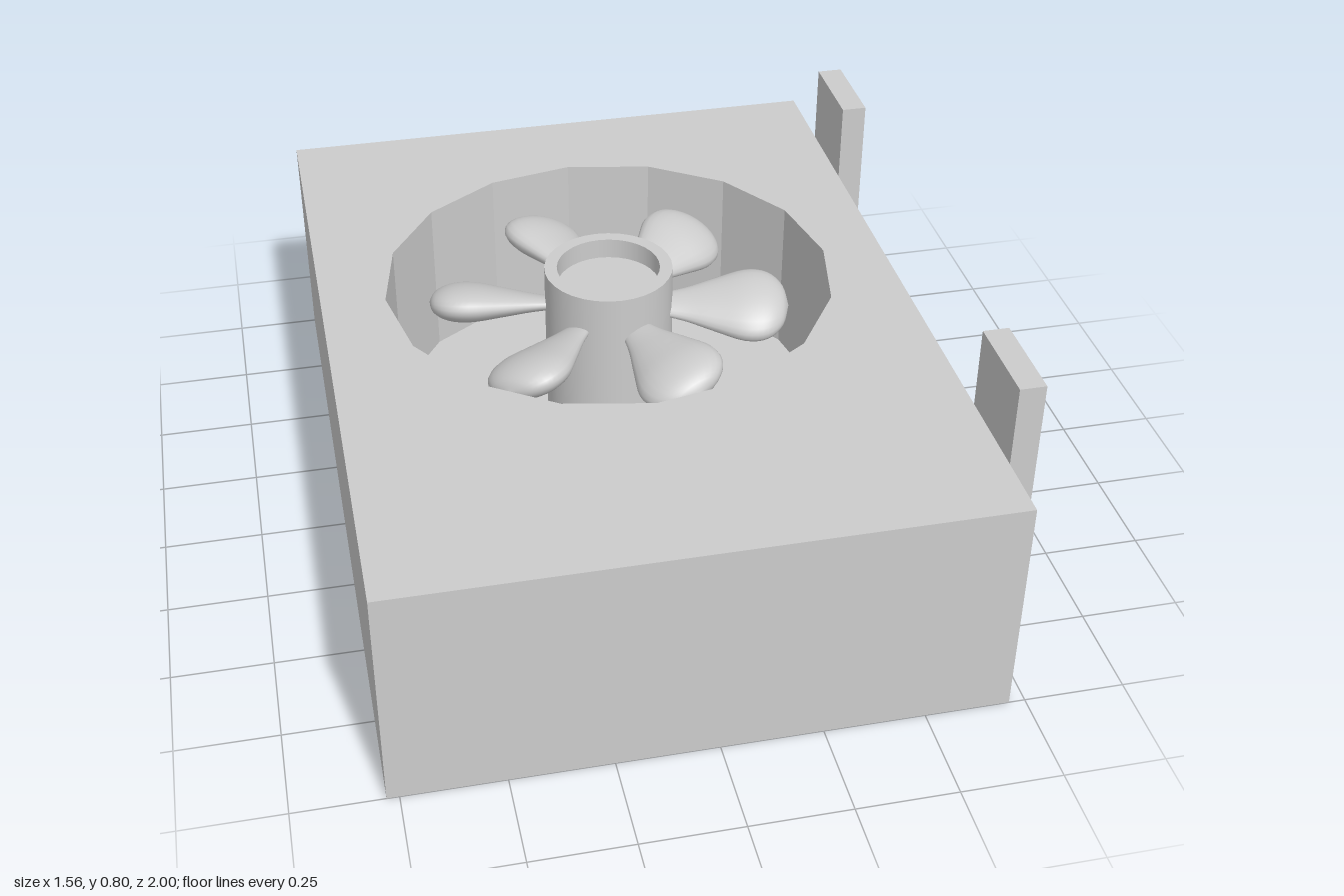
import * as THREE from 'three';

const material = new THREE.MeshStandardMaterial({ color: 0xcccccc });
const CX = -0.03, CZ = -0.155;      // fan centre
const FLOOR = 0.16, TOP = 0.59;     // well floor and casing top

function add(parent, name, geometry, x = 0, y = 0, z = 0) {
  const mesh = new THREE.Mesh(geometry, material);
  mesh.name = name;
  mesh.position.set(x, y, z);
  parent.add(mesh);
  return mesh;
}

// Lathe profile with hard corners: each straight run gets its own points
function ringProfile(corners) {
  const pts = [];
  for (let i = 0; i < corners.length - 1; i++) {
    const a = new THREE.Vector2(...corners[i]), b = new THREE.Vector2(...corners[i + 1]);
    pts.push([a, b]);
  }
  return pts;
}

// Casing walls with a sixteen-sided well
function casingGeometry() {
  const shape = new THREE.Shape();
  shape.moveTo(-0.78, -1).lineTo(0.71, -1).lineTo(0.71, 1).lineTo(-0.78, 1).closePath();
  const hole = new THREE.Path();
  for (let i = 0; i < 16; i++) {
    const a = -i * Math.PI / 8;
    const x = CX + 0.585 * Math.cos(a), y = -CZ + 0.585 * Math.sin(a);
    if (i === 0) hole.moveTo(x, y); else hole.lineTo(x, y);
  }
  hole.closePath();
  shape.holes.push(hole);
  return new THREE.ExtrudeGeometry(shape, { depth: TOP - FLOOR, bevelEnabled: false }).rotateX(-Math.PI / 2);
}

// Flattened teardrop lying along +x
function bladeGeometry() {
  const curve = new THREE.SplineCurve([
    [0.03, 0.12], [0.05, 0.2], [0.08, 0.28], [0.107, 0.36], [0.1, 0.42], [0.06, 0.46], [0, 0.475],
  ].map(p => new THREE.Vector2(...p)));
  const points = curve.getPoints(24);
  points[24].x = 0;
  return new THREE.LatheGeometry(points, 24).rotateZ(-Math.PI / 2).scale(1, 0.45, 1.05);
}

export function createModel() {
  const model = new THREE.Group();
  model.name = 'fanUnit';

  add(model, 'casingBase', new THREE.BoxGeometry(1.49, FLOOR, 2), -0.035, FLOOR / 2, 0);
  add(model, 'casingWalls', casingGeometry(), 0, FLOOR, 0);

  // Mounting posts on the left side
  for (const z of [0.71, -0.65]) {
    add(model, 'mountingPost', new THREE.BoxGeometry(0.065, 0.8, 0.24), 0.7425, 0.4, z);
  }

  // Fan
  const fan = new THREE.Group();
  fan.name = 'fan';
  fan.position.set(CX, 0, CZ);
  model.add(fan);

  // Hub with a shallow recess in its top
  const hub = new THREE.Group();
  hub.name = 'hub';
  fan.add(hub);
  for (const run of ringProfile([[0.168, FLOOR], [0.168, 0.615], [0.135, 0.615], [0.135, 0.56], [0, 0.56]])) {
    add(hub, 'hubSurface', new THREE.LatheGeometry(run, 32));
  }

  // Six pitched blades
  const blade = bladeGeometry();
  for (let i = 0; i < 6; i++) {
    const arm = new THREE.Group();
    arm.name = 'bladeArm';
    arm.rotation.y = -(13 + 60 * i) * Math.PI / 180;
    fan.add(arm);
    add(arm, 'blade', blade, 0, 0.5, 0).rotation.x = 0.35;
  }
  return model;
}
